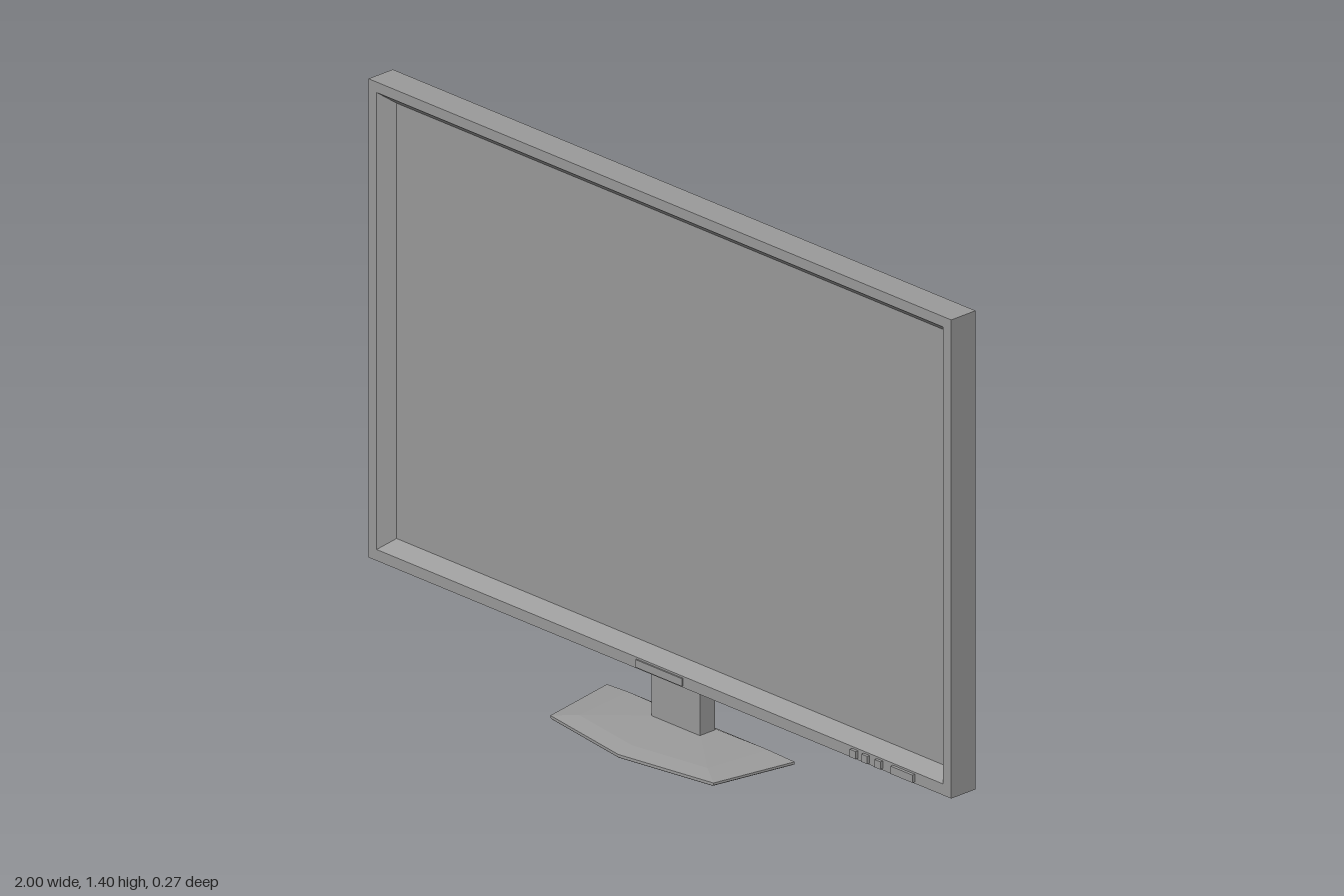
import * as THREE from 'three';

const material = new THREE.MeshStandardMaterial({ color: 0x9a9a9a, flatShading: true });

// Closed solid skinned over a list of loops (each counter-clockwise seen from the end of the list)
function loft(name, loops) {
  const n = loops[0].length;
  const pos = loops.flat(2);
  const index = [];
  for (let k = 0; k < loops.length - 1; k++) {
    for (let i = 0; i < n; i++) {
      const j = (i + 1) % n;
      const a = k * n + i, b = k * n + j, c = a + n, d = b + n;
      index.push(a, b, d, a, d, c);
    }
  }
  const last = (loops.length - 1) * n;
  for (let i = 1; i < n - 1; i++) {
    index.push(0, i + 1, i);
    index.push(last, last + i, last + i + 1);
  }
  const indexed = new THREE.BufferGeometry();
  indexed.setAttribute('position', new THREE.Float32BufferAttribute(pos, 3));
  indexed.setIndex(index);
  const geo = indexed.toNonIndexed();
  geo.computeVertexNormals();
  const mesh = new THREE.Mesh(geo, material);
  mesh.name = name;
  return mesh;
}

// Rectangle loop in the XY plane at depth z
const rect = (x0, x1, y0, y1, z) => [[x0, y0, z], [x1, y0, z], [x1, y1, z], [x0, y1, z]];

function box(name, x0, x1, y0, y1, z0, z1) {
  return loft(name, [rect(x0, x1, y0, y1, z0), rect(x0, x1, y0, y1, z1)]);
}

export function createModel() {
  const model = new THREE.Group();
  model.name = 'monitor';

  // Casing: back plate, outer walls, front bezel, bevel and sunken screen
  model.add(loft('casing', [
    rect(-1, 1, 0.166, 1.405, -0.08),
    rect(-1, 1, 0.166, 1.405, 0),
    rect(-0.972, 0.972, 0.195, 1.378, 0),
    rect(-0.94, 0.94, 0.223, 1.35, -0.035),
  ]));

  // Tapered back shell, in bands
  const back = new THREE.Group();
  back.name = 'backShell';
  back.add(loft('topBand', [
    rect(-0.9, 0.9, 1.32, 1.34, -0.135),
    rect(-1, 1, 1.32, 1.405, -0.08),
  ]));
  back.add(loft('ventBand', [
    rect(-0.931, 0.931, 0.46, 1.32, -0.118),
    rect(-1, 1, 0.46, 1.32, -0.08),
  ]));
  for (const side of [-1, 1]) {
    const span = (x, y0, z) => side > 0
      ? rect(0.32, x, y0, 0.46, z) : rect(-x, -0.32, y0, 0.46, z);
    back.add(loft('lowerBand', [span(0.9, 0.225, -0.135), span(1, 0.166, -0.08)]));
  }
  back.add(box('recessLintel', -0.32, 0.32, 0.445, 0.46, -0.135, -0.08));
  back.add(box('mountPanel', -0.22, 0.22, 0.225, 0.43, -0.083, -0.08));
  model.add(back);

  // Horizontal ventilation ribs
  const ribs = new THREE.Group();
  ribs.name = 'ventRibs';
  const count = 20, pitch = 0.0415;
  for (let i = 0; i < count; i++) {
    const y = 0.487 + i * pitch;
    ribs.add(loft('rib', [
      rect(-0.925, 0.925, y + 0.004, y + 0.028, -0.124),
      rect(-0.929, 0.929, y, y + 0.032, -0.117),
    ]));
  }
  model.add(ribs);

  // Front controls and blank badge plate
  const controls = new THREE.Group();
  controls.name = 'controls';
  for (const [x0, x1] of [[0.66, 0.68], [0.70, 0.72], [0.745, 0.765], [0.80, 0.875]]) {
    controls.add(box('button', x0, x1, 0.17, 0.19, -0.005, 0.008));
  }
  controls.add(box('badgePlate', -0.08, 0.08, 0.17, 0.19, -0.005, 0.004));
  model.add(controls);

  // Stand neck
  model.add(box('neck', -0.083, 0.083, 0.02, 0.42, -0.102, -0.052));

  // Five-sided foot with a thin rim and a gently domed top
  const outline = [[-0.322, -0.135], [-0.28, 0.092], [0, 0.137], [0.28, 0.092], [0.322, -0.135]];
  const shoulder = [[-0.24, -0.125], [-0.22, 0.055], [0, 0.09], [0.22, 0.055], [0.24, -0.125]];
  const crown = [[-0.09, -0.107], [-0.085, -0.052], [0, -0.045], [0.085, -0.052], [0.09, -0.107]];
  const ring = (points, y, s = 1) => points.map(([x, z]) => [x * s, y, z * s]);
  model.add(loft('foot', [
    ring(outline, 0, 0.985),
    ring(outline, 0.003),
    ring(outline, 0.009),
    ring(shoulder, 0.018),
    ring(crown, 0.027),
  ]));

  return model;
}
